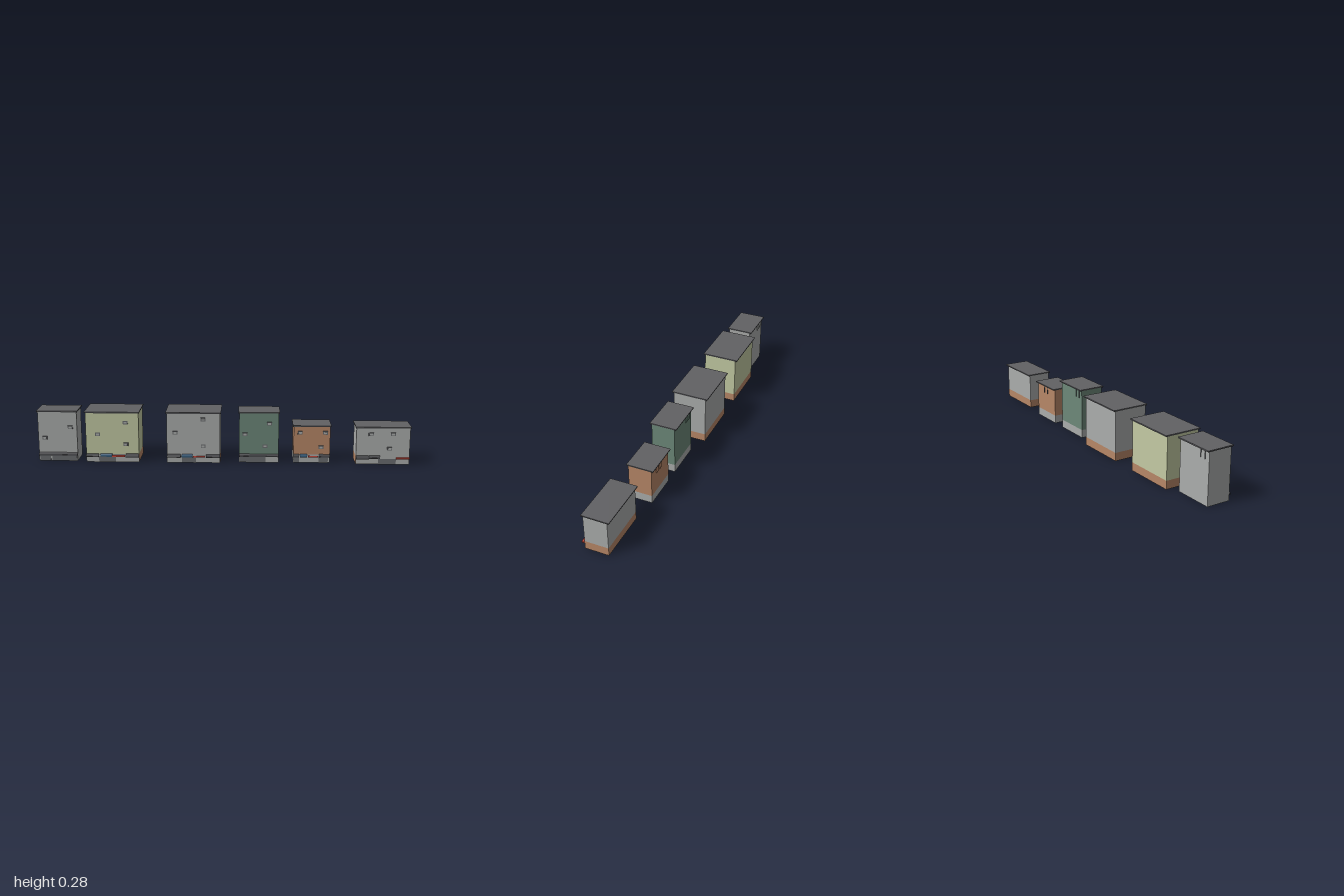
import * as THREE from 'three';
import { mergeGeometries } from 'three/addons/utils/BufferGeometryUtils.js';

const mat = (name, color, side = THREE.FrontSide) => new THREE.MeshStandardMaterial({ name, color, side });
const M = {
  grey: mat('grey wall', 0xabadac, THREE.DoubleSide),
  lime: mat('pale lime wall', 0xc3caa3, THREE.DoubleSide),
  green: mat('green wall', 0x6d8879, THREE.DoubleSide),
  brown: mat('brown brick', 0xb78767, THREE.DoubleSide),
  roof: mat('roof', 0x616164),
  dark: mat('dark trim', 0x434447),
  shop: mat('shop panel', 0x6a6c6f),
  red: mat('red awning', 0xcc4a3c),
  blue: mat('blue awning', 0x2f5674),
};

function add(parent, name, geometry, material, x = 0, y = 0, z = 0) {
  const m = new THREE.Mesh(geometry, material);
  m.name = name;
  m.position.set(x, y, z);
  parent.add(m);
}

// Box given by its limits
function box(parent, name, material, x0, x1, y0, y1, z0, z1) {
  add(parent, name, new THREE.BoxGeometry(x1 - x0, y1 - y0, z1 - z0), material,
    (x0 + x1) / 2, (y0 + y1) / 2, (z0 + z1) / 2);
}

// Outward walls without floor or ceiling; sides are front, left, back, right
function shell(x0, x1, y0, y1, z0, z1, sides = [0, 1, 2, 3]) {
  const w = x1 - x0, d = z1 - z0, h = y1 - y0;
  return mergeGeometries(sides.map((i) => {
    const p = new THREE.PlaneGeometry(i % 2 ? d : w, h);
    p.translate(0, 0, (i % 2 ? w : d) / 2).rotateY(i * Math.PI / 2);
    return p.translate((x0 + x1) / 2, (y0 + y1) / 2, (z0 + z1) / 2);
  }));
}

// Projecting window: frame and pale pane
function windowUnit(parent, x, y, z) {
  const g = new THREE.Group();
  g.name = 'window';
  g.position.set(x, y, z);
  box(g, 'windowFrame', M.shop, -0.013, 0.013, -0.009, 0.009, 0, 0.006);
  box(g, 'windowPane', M.grey, -0.008, 0.008, -0.005, 0.005, 0.006, 0.007);
  parent.add(g);
}

// Sloping canopy on a thin slab
function awning(parent, x0, x1, z, depth, material) {
  const s = new THREE.Shape();
  s.moveTo(0, 0.035);
  s.lineTo(depth * 0.9, 0.035);
  s.lineTo(depth * 0.7, 0.041);
  s.lineTo(0, 0.047);
  const geo = new THREE.ExtrudeGeometry(s, { depth: x1 - x0, bevelEnabled: false });
  add(parent, 'awning', geo.rotateY(-Math.PI / 2), material, x1, 0, z);
  box(parent, 'awningSlab', material, x0, x1, 0.031, 0.035, z, z + depth);
}

// Red shelf awning, a slab only
function shelf(parent, x0, x1, z, depth) {
  box(parent, 'awningShelf', M.red, x0, x1, 0.031, 0.038, z, z + depth);
}

const BASE = 0.045, DEEP = 0.016, SHALLOW = 0.008;
// Windows are [x, y]; shops and awnings run along the front from 0 to 1
const HOUSES = [
  { name: 'greyTower', x: [-0.995, -0.785], z: [-0.057, 0.072], h: 0.278, wall: M.grey, base: M.grey,
    windows: [[-0.82, 0.187], [-0.96, 0.128]], chutes: [-0.925, -0.955],
    shops: [[0.02, 0.3], [0.34, 0.98]], awnings: [[0, 0.3, M.dark, SHALLOW], [0.3, 1, M.dark, SHALLOW]] },
  { name: 'limeHouse', x: [-0.735, -0.45], z: [-0.095, 0.09], h: 0.278, wall: M.lime, base: M.brown,
    windows: [[-0.52, 0.22], [-0.67, 0.155], [-0.52, 0.1]], shops: [[0.24, 0.56]],
    awnings: [[0, 0.24, M.dark, DEEP], [0.27, 0.49, M.blue, SHALLOW], [0.49, 0.73, M.red, SHALLOW], [0.75, 1, M.dark, DEEP]] },
  { name: 'greyHouse', x: [-0.3, -0.014], z: [-0.095, 0.09], h: 0.278, wall: M.grey, base: M.brown,
    windows: [[-0.104, 0.24], [-0.254, 0.166], [-0.104, 0.093]], shops: [[0.28, 0.55]],
    awnings: [[0, 0.26, M.dark, DEEP], [0.28, 0.48, M.blue, SHALLOW], [0.49, 0.72, M.red, SHALLOW], [0.74, 1, M.dark, DEEP]] },
  { name: 'greenHouse', x: [0.088, 0.3], z: [-0.057, 0.072], h: 0.278, wall: M.green, base: M.grey,
    windows: [[0.249, 0.214], [0.12, 0.155], [0.227, 0.091]], chutes: [0.155, 0.125],
    shops: [[0.02, 0.67]], awnings: [[0, 0.6, M.dark, SHALLOW], [0.6, 1, M.dark, SHALLOW]] },
  { name: 'brownHouse', x: [0.38, 0.575], z: [-0.057, 0.07], h: 0.206, wall: M.brown, base: M.grey,
    windows: [[0.414, 0.166], [0.548, 0.166], [0.527, 0.086]], chutes: [0.51, 0.475],
    shops: [[0.02, 0.16], [0.7, 0.95]],
    awnings: [[0, 0.15, M.dark, SHALLOW], [0.18, 0.38, M.blue, SHALLOW], [0.4, 0.68, M.red, SHALLOW], [0.7, 1, M.dark, SHALLOW]] },
  { name: 'lowGreyHouse', x: [0.712, 0.997], z: [-0.037, 0.09], h: 0.206, wall: M.grey, base: M.brown,
    windows: [[0.789, 0.166], [0.906, 0.166], [0.89, 0.086]], shops: [[0.42, 0.75]],
    awnings: [[0, 0.24, M.dark, DEEP], [0.25, 0.45, M.dark, SHALLOW], [0.75, 1, M.red, DEEP]] },
];

function house(o) {
  const g = new THREE.Group();
  g.name = o.name;
  const [x0, x1] = o.x, [z0, z1] = o.z, at = (t) => x0 + t * (x1 - x0);

  // Walls, with a light shopfront at street level
  add(g, 'upperWalls', shell(x0, x1, BASE, o.h - 0.006, z0, z1), o.wall);
  add(g, 'baseWalls', shell(x0, x1, 0, BASE, z0, z1, [1, 2, 3]), o.base);
  add(g, 'shopfront', shell(x0, x1, 0, BASE, z0, z1, [0]), M.grey);

  // Flat overhanging roof with a dark lower edge
  box(g, 'roof', M.roof, x0 - 0.005, x1 + 0.005, o.h - 0.004, o.h, z0 - 0.012, z1 + 0.008);
  box(g, 'roofTrim', M.dark, x0 - 0.004, x1 + 0.004, o.h - 0.007, o.h - 0.004, z0 - 0.011, z1 + 0.007);

  o.windows.forEach(([x, y]) => windowUnit(g, x, y, z1));
  o.shops.forEach(([a, b]) => box(g, 'shopPanel', M.shop, at(a), at(b), 0, 0.03, z1, z1 + 0.003));
  o.awnings.forEach(([a, b, material, depth]) => (material === M.red
    ? shelf(g, at(a), at(b), z1, depth)
    : awning(g, at(a), at(b), z1, depth, material)));

  // Shallow vertical panels under the rear eaves
  (o.chutes || []).forEach((x) => {
    box(g, 'rearPanel', o.wall, x - 0.01, x + 0.01, o.h - 0.052, o.h - 0.007, z0 - 0.003, z0);
    box(g, 'rearPanelEdge', M.dark, x - 0.012, x - 0.01, o.h - 0.052, o.h - 0.007, z0 - 0.003, z0);
  });
  return g;
}

export function createModel() {
  const model = new THREE.Group();
  model.name = 'houseRow';
  HOUSES.forEach((o) => model.add(house(o)));
  return model;
}
